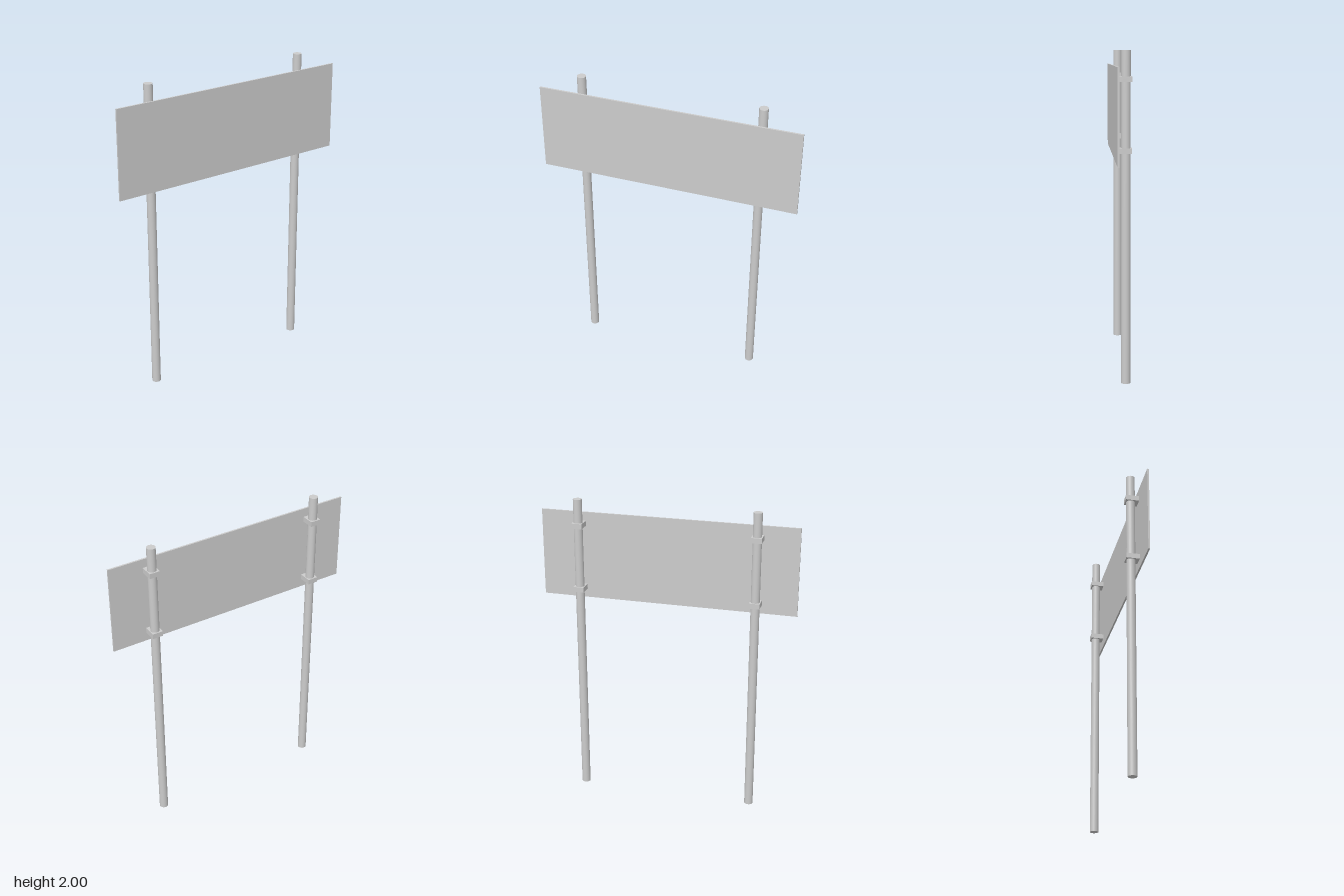
import * as THREE from 'three';

export function createModel() {
  const model = new THREE.Group();
  model.name = 'signboard';
  const material = new THREE.MeshStandardMaterial({ color: 0xcccccc });

  function add(name, geometry, x, y, z) {
    const mesh = new THREE.Mesh(geometry, material);
    mesh.name = name;
    mesh.position.set(x, y, z);
    model.add(mesh);
  }

  // Thin flat sign panel in front of the posts
  add('panel', new THREE.BoxGeometry(1.656, 0.566, 0.011), 0, 1.622, 0.042);

  // Two round posts, each with an upper and a lower clamp reaching to the panel
  const postGeometry = new THREE.CylinderGeometry(0.028, 0.028, 2, 32);
  const clampGeometry = new THREE.BoxGeometry(0.068, 0.033, 0.084);
  for (const [side, x] of [['left', 0.571], ['right', -0.571]]) {
    add(side + 'Post', postGeometry, x, 1, -0.012);
    add(side + 'UpperClamp', clampGeometry, x, 1.832, -0.0055);
    add(side + 'LowerClamp', clampGeometry, x, 1.412, -0.0055);
  }
  return model;
}
